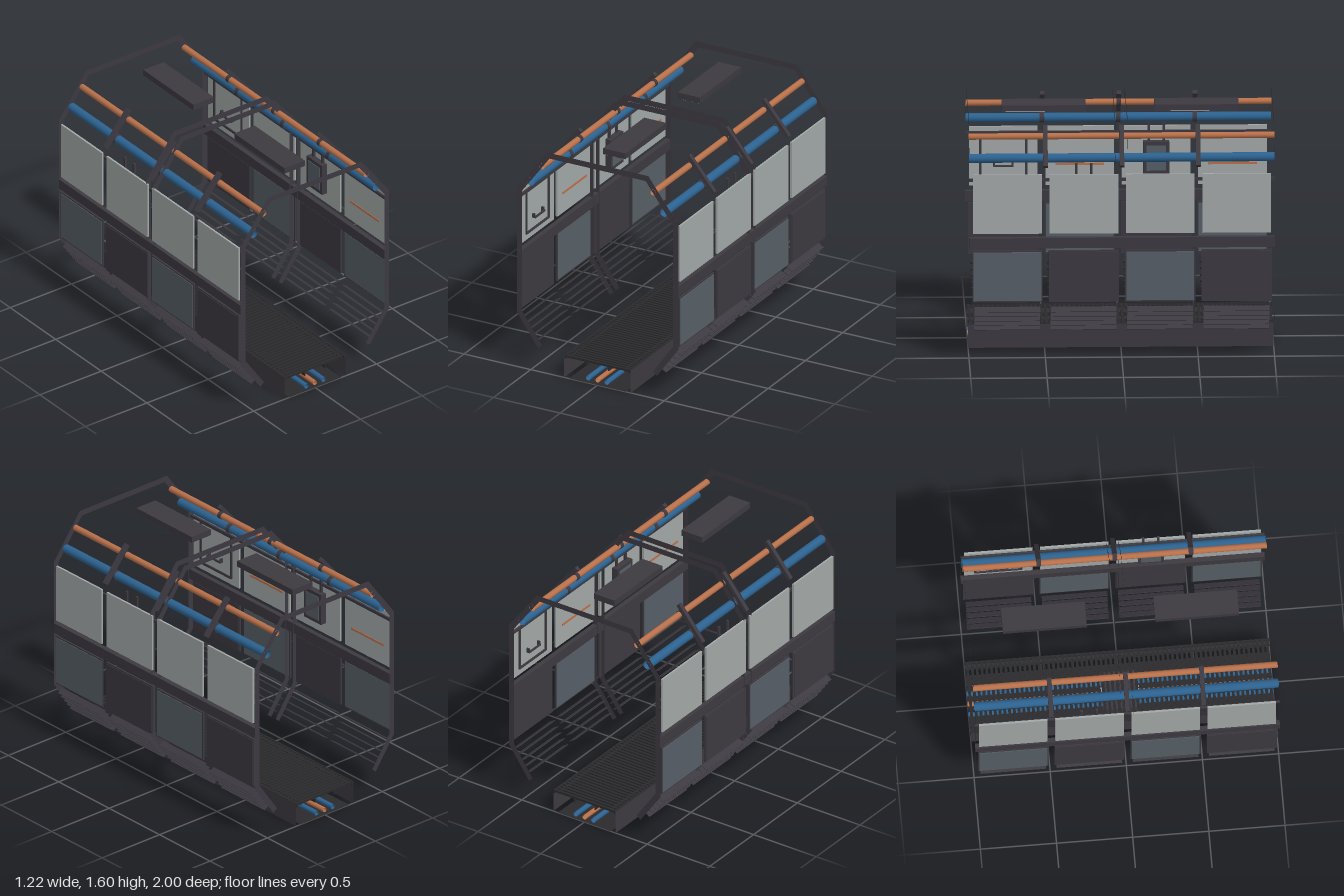
import * as THREE from 'three';

const mat = (name, color, side = THREE.FrontSide) => {
  const m = new THREE.MeshStandardMaterial({ color, side });
  m.name = name;
  return m;
};

export function createModel() {
  const dark = mat('dark frame metal', 0x3c3940, THREE.DoubleSide);
  const black = mat('black grating', 0x2a2a2d, THREE.DoubleSide);
  const pale = mat('pale panel', 0xa2a8a7);
  const slate = mat('slate panel', 0x565e66);
  const blue = mat('blue pipe', 0x2c6290, THREE.DoubleSide);
  const copper = mat('copper', 0xb8704a, THREE.DoubleSide);
  const white = mat('lamp white', 0xdfe2e2);

  const model = new THREE.Group();
  model.name = 'corridorSection';

  const add = (parent, name, geo, material) => {
    const m = new THREE.Mesh(geo, material);
    m.name = name;
    parent.add(m);
    return m;
  };
  // box given by its x, y and z ranges
  const box = (parent, name, material, [x0, x1], [y0, y1], [z0, z1]) => {
    const m = add(parent, name, new THREE.BoxGeometry(x1 - x0, y1 - y0, z1 - z0), material);
    m.position.set((x0 + x1) / 2, (y0 + y1) / 2, (z0 + z1) / 2);
    return m;
  };
  // bar between two points in the xy plane
  const bar = (parent, name, material, [ax, ay], [bx, by], thick, z, depth) => {
    const len = Math.hypot(bx - ax, by - ay);
    const m = add(parent, name, new THREE.BoxGeometry(len, thick, depth), material);
    m.position.set((ax + bx) / 2, (ay + by) / 2, z);
    m.rotation.z = Math.atan2(by - ay, bx - ax);
    return m;
  };
  // open pipe running the full length
  const pipe = (parent, name, material, x, y, r) => {
    const geo = new THREE.CylinderGeometry(r, r, 2, 16, 1, true).rotateX(Math.PI / 2);
    add(parent, name, geo, material).position.set(x, y, 0);
  };

  // Flat hoop ribs
  const outer = [[0.445, 0.165], [0.605, 0.39], [0.605, 1.29], [0.38, 1.59]];
  const inner = [[0.415, 0.19], [0.565, 0.405], [0.565, 1.275], [0.36, 1.55]];
  const flip = (pts) => pts.map(([x, y]) => [-x, y]).reverse();
  const band = [...outer, ...flip(outer), ...flip(inner).reverse(), ...[...inner].reverse()];
  const ribGeo = new THREE.ShapeGeometry(new THREE.Shape(band.map(([x, y]) => new THREE.Vector2(x, y))));
  for (const z of [-0.998, -0.04, 0.04, 0.998]) add(model, 'hoopRib', ribGeo, dark).position.z = z;

  // One half: the +x wall with its pipes, and the front ceiling lamp
  const half = new THREE.Group();
  half.name = 'wallHalf';

  [0.75, 0.25, -0.25, -0.75].forEach((z, i) => {
    box(half, 'upperPanel', pale, [0.592, 0.606], [0.87, 1.27], [z - 0.225, z + 0.225]);
    box(half, 'lowerPanelFrame', dark, [0.592, 0.604], [0.405, 0.755], [z - 0.23, z + 0.23]);
    box(half, 'lowerPanel', i % 2 ? dark : slate, [0.59, 0.608], [0.415, 0.745], [z - 0.222, z + 0.222]);

    // louvres on the sloping foot of the wall
    for (let k = 0; k < 5; k++) {
      const x = 0.455 + 0.026 * k, y = 0.213 + 0.037 * k;
      bar(half, 'louvre', dark, [x, y], [x + 0.04, y - 0.025], 0.004, z, 0.43);
    }
  });
  box(half, 'waistRail', dark, [0.57, 0.604], [0.77, 0.84], [-1, 1]);
  box(half, 'topRail', dark, [0.578, 0.592], [1.22, 1.24], [-1, 1]);

  // Copper stripes on two panels
  for (const z of [0.75, -0.25])
    box(half, 'panelStripe', copper, [0.588, 0.592], [1.005, 1.02], [z - 0.16, z + 0.16]);

  // Wall monitor and its cables
  box(half, 'monitorCase', dark, [0.55, 0.592], [0.95, 1.17], [0.165, 0.335]);
  box(half, 'monitorScreen', slate, [0.546, 0.55], [0.975, 1.145], [0.185, 0.315]);
  for (const z of [0.2, 0.3]) box(half, 'monitorCable', dark, [0.575, 0.59], [1.17, 1.34], [z - 0.008, z + 0.008]);

  // Framed hatch with a handle
  for (const s of [-1, 1]) {
    const z = -0.75 + s * 0.15, y = 1.07 + s * 0.15;
    box(half, 'hatchFrameSide', dark, [0.584, 0.592], [0.915, 1.225], [z - 0.008, z + 0.008]);
    box(half, 'hatchFrameEdge', dark, [0.584, 0.592], [y - 0.008, y + 0.008], [-0.9, -0.6]);
    box(half, 'handlePost', dark, [0.572, 0.592], [1.0, 1.03], [-0.756 + s * 0.06, -0.744 + s * 0.06]);
  }
  box(half, 'handleGrip', dark, [0.566, 0.576], [1.0, 1.012], [-0.816, -0.684]);

  // Overhead pipes with clamps
  pipe(half, 'bluePipe', blue, 0.5, 1.355, 0.03);
  pipe(half, 'copperPipe', copper, 0.417, 1.48, 0.021);
  for (const z of [-0.5, 0, 0.5]) {
    bar(half, 'pipeBracket', dark, [0.595, 1.32], [0.405, 1.548], 0.026, z, 0.03);
    for (const [x, y, r] of [[0.5, 1.355, 0.034], [0.417, 1.48, 0.025]]) {
      const ring = new THREE.CylinderGeometry(r, r, 0.03, 16).rotateX(Math.PI / 2);
      add(half, 'pipeClamp', ring, dark).position.set(x, y, z);
    }
  }

  // Ceiling lamp
  box(half, 'lampHousing', dark, [-0.083, 0.083], [1.555, 1.597], [0.225, 0.775]);
  box(half, 'lampDiffuser', white, [-0.078, 0.078], [1.552, 1.555], [0.23, 0.77]);

  const otherHalf = half.clone();
  otherHalf.rotation.y = Math.PI;
  model.add(half, otherHalf);

  // Floor grating
  const pitch = 2 / 64;
  for (let i = 0; i < 64; i++) {
    const z = -1 + pitch * (i + 0.5);
    box(model, 'floorSlat', black, [-0.236, 0.236], [0.145, 0.16], [z - 0.009, z + 0.009]);
  }
  for (const s of [-1, 1]) {
    box(model, 'floorEdge', black, [s * 0.242 - 0.006, s * 0.242 + 0.006], [0.138, 0.162], [-1, 1]);
    box(model, 'floorInnerEdge', black, [s * 0.205 - 0.006, s * 0.205 + 0.006], [0.145, 0.161], [-1, 1]);
    box(model, 'floorBearer', black, [s * 0.083 - 0.004, s * 0.083 + 0.004], [0.12, 0.145], [-1, 1]);
    // thin side skirt
    const skirt = add(model, 'floorSkirt', new THREE.PlaneGeometry(2, 0.16), dark);
    skirt.position.set(s * 0.249, 0.08, 0);
    skirt.rotation.y = s * Math.PI / 2;
    pipe(model, 'underfloorBluePipe', blue, s * 0.07, 0.035, 0.017);
  }
  pipe(model, 'underfloorCopperPipe', copper, 0, 0.035, 0.016);

  // Channel bottom, with a narrow gap along each side
  const bottom = add(model, 'channelBottom', new THREE.PlaneGeometry(0.424, 2), black);
  bottom.rotation.x = Math.PI / 2;
  bottom.position.y = 0.001;

  // Junction box under the grating
  box(model, 'junctionBox', dark, [-0.13, 0.13], [0.003, 0.08], [-0.12, 0.12]);
  for (const s of [-1, 1])
    box(model, 'junctionPlate', white, [-0.033, 0.033], [0.045, 0.06], [s * 0.122 - 0.002, s * 0.122 + 0.002]);

  return model;
}
